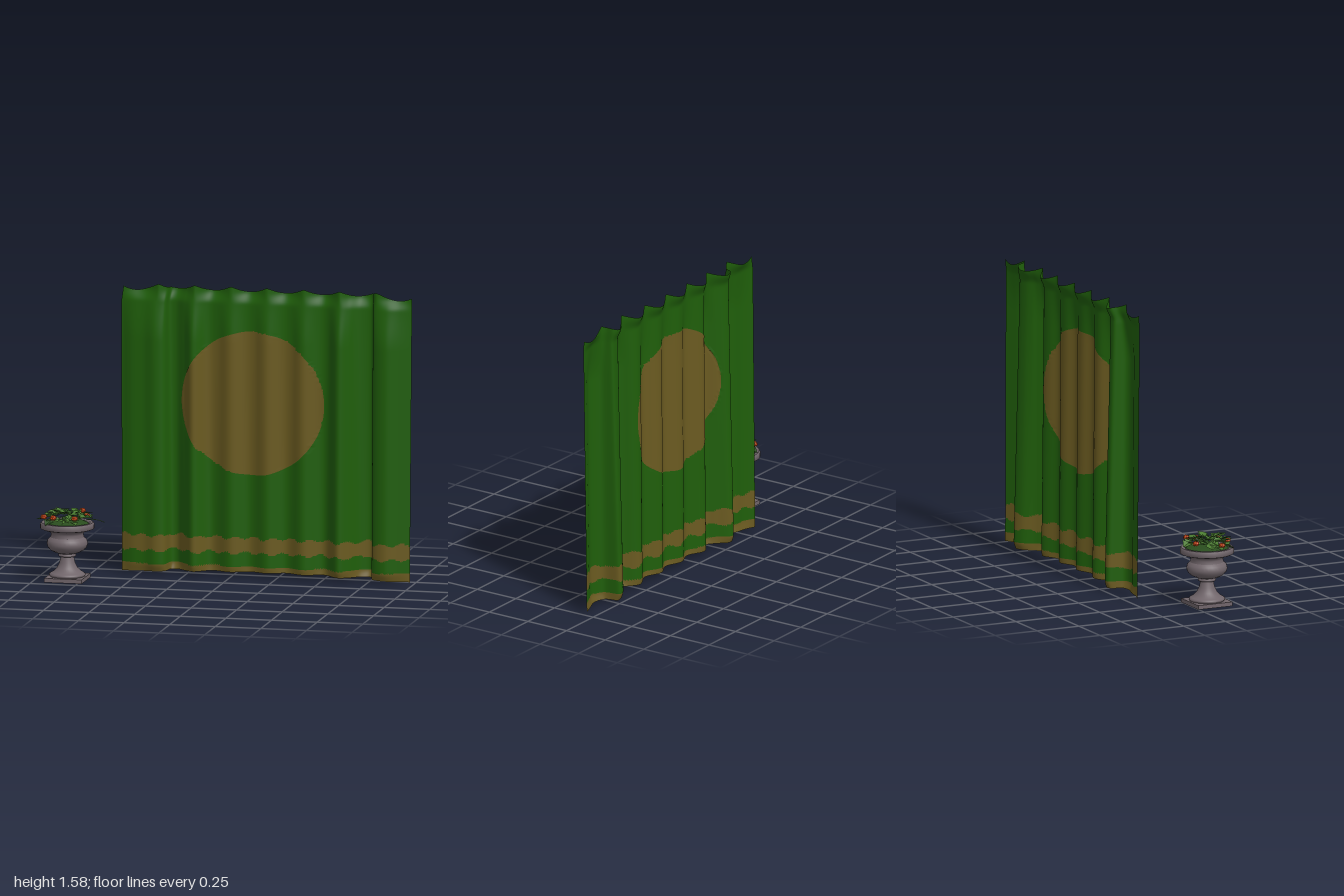
import * as THREE from 'three';
import { mergeGeometries } from 'three/addons/utils/BufferGeometryUtils.js';

const mat = (name, color, extra = {}) => {
  const m = new THREE.MeshStandardMaterial({ color, ...extra });
  m.name = name;
  return m;
};

function seeded(seed) {
  return () => {
    seed = (seed * 16807) % 2147483647;
    return seed / 2147483647;
  };
}

// Pleat line seen from above: x, z offset from the hanging line
const pleats = new THREE.CatmullRomCurve3([
  [-0.6, -0.005], [-0.54, 0.02], [-0.47, 0.03], [-0.405, 0.05], [-0.36, 0.035], [-0.338, -0.045],
  [-0.305, -0.05], [-0.25, 0.005], [-0.2, 0.042], [-0.11, -0.018], [0, 0.025], [0.1, -0.012],
  [0.2, 0.025], [0.3, -0.015], [0.4, 0.025], [0.51, -0.02], [0.6, 0.05], [0.65, 0.02],
  [0.71, -0.045], [0.765, -0.06], [0.79, 0.025], [0.86, 0.052], [0.93, 0.025], [0.993, 0],
].map(([x, z]) => new THREE.Vector3(x, 0, z)));

const smooth = THREE.MathUtils.smoothstep;

function buildCurtain(cloth, gold) {
  const nx = 200, ny = 160, cx = 0.117, cy = 0.945, R = 0.39;
  const line = pleats.getPoints(nx);
  const pos = [], flat = [];
  for (let j = 0; j <= ny; j++) {
    const v = j / ny;
    for (let i = 0; i <= nx; i++) {
      const p = line[i];
      const u = (p.x - 0.195) / 0.797;
      // scalloped top edge and slightly sagging hem
      const dip = Math.abs(Math.sin(p.x * Math.PI / 0.2));
      const top = 1.577 - 0.03 * dip - 0.022 * smooth(Math.abs(u), 0.78, 1);
      const bottom = 0.028 - 0.018 * u * u;
      let y = bottom + (top - bottom) * v;
      let x = p.x + (u > 0 ? -0.015 * (1 - v) * u : -0.012 * u * smooth(y, 1.46, 1.57));
      // pull nearby vertices onto the medallion outline
      const r = Math.hypot(x - cx, y - cy);
      if (Math.abs(r - R) < 0.0055) {
        x = cx + (x - cx) * R / r;
        y = cy + (y - cy) * R / r;
      }
      // forward folds open quickly, backward folds deepen all the way down
      const gather = p.z > 0 ? 0.45 + 0.63 * smooth(1.57 - y, 0, 0.3) : 1.05 - 0.55 * v;
      const hem = 0.7 + 0.3 * smooth(y, 0, 0.06);
      const lip = 0.025 * dip * smooth(y, 1.48, 1.55);
      flat.push([x, y]);
      pos.push(x, y, -0.182 - 0.012 * (1 - v) + p.z * gather * hem - lip);
    }
  }
  // sort triangles into plain cloth and gold pattern
  const green = [], pattern = [];
  const add = (a, b, c) => {
    const x = (flat[a][0] + flat[b][0] + flat[c][0]) / 3;
    const y = (flat[a][1] + flat[b][1] + flat[c][1]) / 3;
    const wave = 0.008 * Math.sin(x * 62);
    const isGold = Math.hypot(x - cx, y - cy) < R
      || (y > 0.13 - wave && y < 0.212 + wave) || y < 0.058;
    (isGold ? pattern : green).push(a, b, c);
  };
  for (let j = 0; j < ny; j++) for (let i = 0; i < nx; i++) {
    const a = j * (nx + 1) + i, b = a + 1, c = a + nx + 1, d = c + 1;
    add(a, b, d);
    add(a, d, c);
  }
  const g = new THREE.BufferGeometry();
  g.setAttribute('position', new THREE.Float32BufferAttribute(pos, 3));
  g.setIndex([...green, ...pattern]);
  g.addGroup(0, green.length, 0);
  g.addGroup(green.length, pattern.length, 1);
  g.computeVertexNormals();
  const mesh = new THREE.Mesh(g, [cloth, gold]);
  mesh.name = 'curtain';
  return mesh;
}

// Folded leaf: two halves creased along the middle, lying along +x
function leafGeometry(length, width) {
  const g = new THREE.BufferGeometry();
  const h = width / 2, s = width * 0.12;
  g.setAttribute('position', new THREE.Float32BufferAttribute([
    0, 0, 0, length * 0.4, s, h, length, -s, 0,
    0, 0, 0, length, -s, 0, length * 0.4, s, -h,
  ], 3));
  g.computeVertexNormals();
  return g;
}

function buildUrn(stone) {
  const urn = new THREE.Group();
  urn.name = 'urn';
  const plinth = new THREE.Mesh(new THREE.BoxGeometry(0.205, 0.022, 0.205), stone);
  plinth.name = 'plinth';
  plinth.position.y = 0.011;
  // crisp-edged segments of the turned profile
  const sections = [
    [[0.092, 0.022], [0.097, 0.028], [0.097, 0.034], [0.09, 0.04]],
    [[0.09, 0.04], [0.075, 0.048], [0.055, 0.068], [0.042, 0.095], [0.035, 0.128]],
    [[0.035, 0.128], [0.046, 0.13], [0.048, 0.138], [0.042, 0.145]],
    [[0.042, 0.145], [0.065, 0.152], [0.09, 0.165], [0.105, 0.182], [0.11, 0.2], [0.105, 0.22], [0.09, 0.234]],
    [[0.09, 0.234], [0.086, 0.25], [0.092, 0.264], [0.11, 0.273], [0.134, 0.278]],
    [[0.134, 0.278], [0.145, 0.283], [0.145, 0.306], [0.138, 0.314]],
    [[0.138, 0.314], [0.122, 0.314], [0.116, 0.295]],
  ];
  const body = new THREE.Mesh(mergeGeometries(sections.map((s) =>
    new THREE.LatheGeometry(s.map(([x, y]) => new THREE.Vector2(x, y)), 32))), stone);
  body.name = 'urnBody';
  urn.add(plinth, body);
  return urn;
}

function buildPlants(leafMat, darkMat, flowerMat) {
  const plants = new THREE.Group();
  plants.name = 'plants';
  const rand = seeded(71);
  const light = [], dark = [];
  // broad leaves spiral outwards over the rim
  for (let i = 0; i < 60; i++) {
    const t = i / 60, a = i * 2.39996, r = 0.098 * Math.sqrt(t);
    const g = leafGeometry(0.05 + rand() * 0.02, 0.048 + rand() * 0.022);
    g.rotateX((rand() - 0.5) * 0.9);
    g.rotateZ((rand() - 0.4) * 0.7);
    g.rotateY(-a + (rand() - 0.5) * 2.8);
    g.translate(Math.cos(a) * r, 0.332 + (1 - t) * 0.02 + rand() * 0.02, Math.sin(a) * r);
    (i % 7 === 0 ? dark : light).push(g);
  }
  // two leaves reaching past the rim
  for (const [x, z, turn] of [[-0.11, 0.01, Math.PI], [0.055, 0.1, -1.1]]) {
    const g = leafGeometry(0.06, 0.045);
    g.rotateY(turn);
    g.translate(x, 0.33, z);
    light.push(g);
  }
  const leaves = new THREE.Mesh(mergeGeometries(light), leafMat);
  leaves.name = 'leaves';
  const shade = new THREE.Mesh(mergeGeometries(dark), darkMat);
  shade.name = 'shadedLeaves';
  const mound = new THREE.Mesh(new THREE.SphereGeometry(0.118, 16, 4, 0, Math.PI * 2, 0, Math.PI / 2), darkMat);
  mound.name = 'mound';
  mound.scale.y = 0.2;
  mound.position.y = 0.303;
  // one trailing stem
  const stem = new THREE.Mesh(new THREE.TubeGeometry(new THREE.QuadraticBezierCurve3(
    new THREE.Vector3(0.1, 0.325, -0.02), new THREE.Vector3(0.15, 0.34, -0.01),
    new THREE.Vector3(0.195, 0.315, -0.035)), 8, 0.002, 4), leafMat);
  stem.name = 'trailingStem';
  plants.add(mound, leaves, shade, stem);
  // flowers around the edge
  const bloom = new THREE.IcosahedronGeometry(0.02, 0);
  for (const [x, y, z] of [[-0.122, 0.342, 0.03], [-0.055, 0.35, 0.095], [0.062, 0.35, 0.095],
    [0.102, 0.348, -0.02], [0.062, 0.362, -0.092], [-0.06, 0.352, -0.095]]) {
    const f = new THREE.Mesh(bloom, flowerMat);
    f.name = 'flower';
    f.position.set(x, y, z);
    f.scale.y = 0.75;
    plants.add(f);
  }
  return plants;
}

export function createModel() {
  const both = { side: THREE.DoubleSide };
  const model = new THREE.Group();
  model.name = 'curtainAndPlanter';
  model.add(buildCurtain(mat('green cloth', 0x1f5e0a, both), mat('gold pattern', 0x6a5a20, both)));
  const planter = new THREE.Group();
  planter.name = 'planter';
  planter.add(
    buildUrn(mat('stone', 0x70656a, both)),
    buildPlants(mat('leaf green', 0x4a7a30, { ...both, flatShading: true }),
      mat('dark leaf green', 0x2a4d1e, { ...both, flatShading: true }),
      mat('orange flower', 0xe0501a, { flatShading: true })),
  );
  planter.position.set(-0.83, 0, 0.1);
  model.add(planter);
  return model;
}
